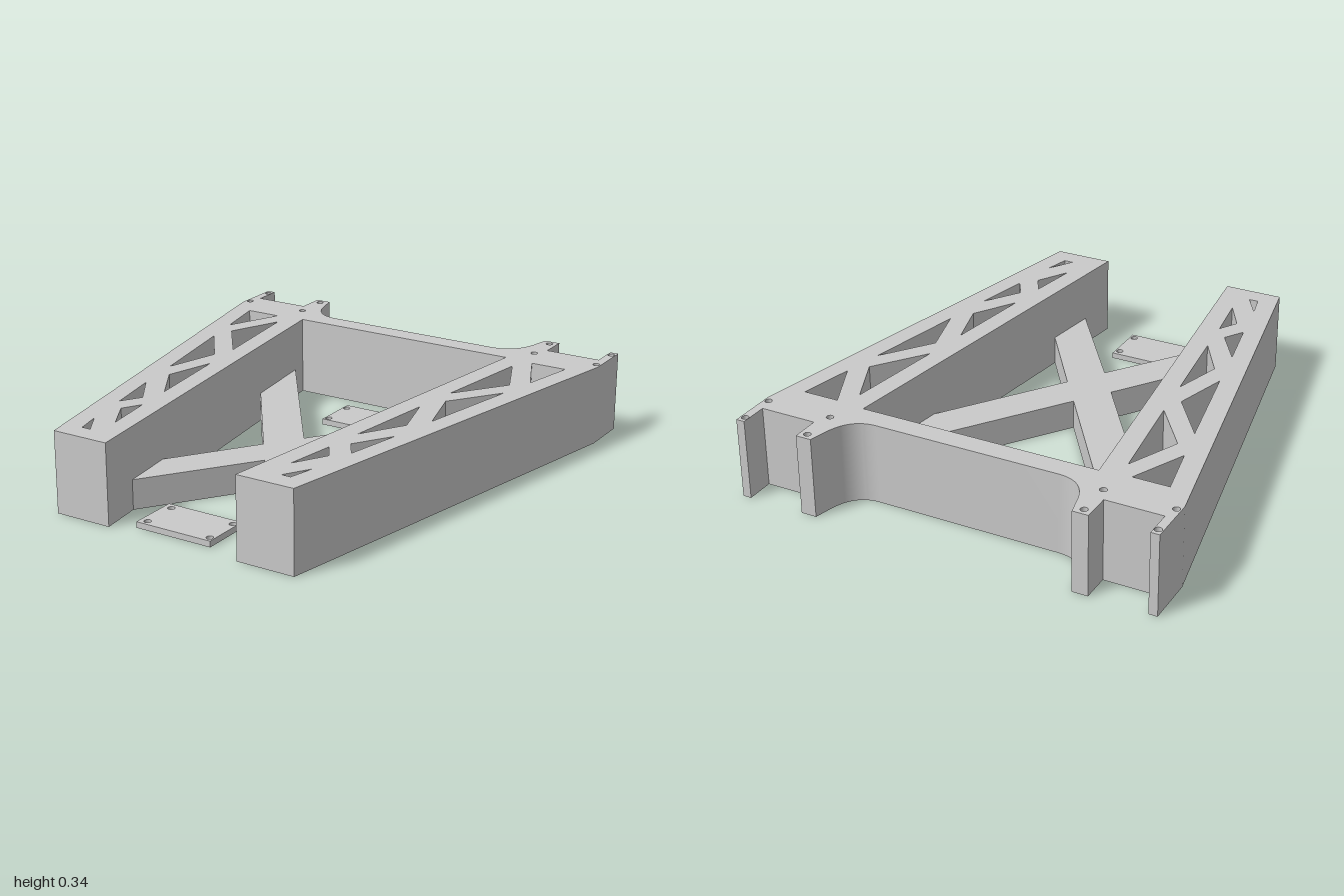
import * as THREE from 'three';
import { toCreasedNormals } from 'three/addons/utils/BufferGeometryUtils.js';

const FRAME_HEIGHT = 0.34;
const BRACE_HEIGHT = 0.125;
const PLATE_HEIGHT = 0.025;

// Plan points are [x, z]; shapes use y = -z so that the extrusion rises along +y.
const toVectors = (points) => points.map(([x, z]) => new THREE.Vector2(x, -z));
const mirrored = (points) => points.map(([x, z]) => [-x, z]);
const bothSides = (points) => [...points, ...mirrored(points).reverse()];

function roundHole(x, z) {
  return new THREE.Path().absarc(x, -z, 0.0145, 0, Math.PI * 2, true);
}

function slab(name, outline, holes, height, material) {
  // A counter-clockwise outline keeps the hole walls facing into the openings
  const points = toVectors(outline);
  if (THREE.ShapeUtils.isClockWise(points)) points.reverse();
  const shape = new THREE.Shape(points);
  shape.holes.push(...holes);
  const geometry = new THREE.ExtrudeGeometry(shape, {
    depth: height, bevelEnabled: false, curveSegments: 20,
  });
  geometry.rotateX(-Math.PI / 2);
  // Smooth the curved walls only; the slight bends of the rails stay sharp
  const mesh = new THREE.Mesh(toCreasedNormals(geometry, 0.17), material);
  mesh.name = name;
  return mesh;
}

function createFrame(material) {
  // Rounded inner corner between the rear post and the cross beam
  const fillet = new THREE.QuadraticBezierCurve(
    new THREE.Vector2(-0.535, -0.925),
    new THREE.Vector2(-0.505, -0.795),
    new THREE.Vector2(-0.39, -0.795),
  ).getPoints(24).map((p) => [p.x, p.y]);

  // Left half of the plan: rail, rear posts, then the back of the beam
  const rear = [
    [-0.293, 1], [-0.54, 1], [-0.893, -0.79], [-0.893, -1],
    [-0.857, -1], [-0.857, -0.88], [-0.618, -0.88], [-0.618, -1],
    [-0.552, -1], ...fillet,
  ];
  const outline = [...bothSides(rear), [0.51, -0.702], [-0.51, -0.702]];

  // Triangular truss openings along each rail
  const triangles = [
    [[-0.79, -0.69], [-0.638, -0.69], [-0.742, -0.46]],
    [[-0.585, -0.612], [-0.683, -0.39], [-0.527, -0.175]],
    [[-0.708, -0.29], [-0.558, -0.08], [-0.622, 0.15]],
    [[-0.502, 0.03], [-0.561, 0.238], [-0.452, 0.418]],
    [[-0.583, 0.367], [-0.484, 0.52], [-0.535, 0.603]],
    [[-0.432, 0.59], [-0.478, 0.667], [-0.4, 0.803]],
    [[-0.497, 0.81], [-0.433, 0.915], [-0.472, 0.915]],
  ];
  const holes = triangles.flatMap((t) => [t, mirrored(t)])
    .map((t) => new THREE.Path(toVectors(t)));

  // Screw holes through the rear posts
  for (const side of [-1, 1]) {
    for (const x of [0.873, 0.586]) {
      for (const z of [-0.97, -0.818]) holes.push(roundHole(side * x, z));
    }
  }
  return slab('trussFrame', outline, holes, FRAME_HEIGHT, material);
}

function createBrace(material) {
  // X-shaped floor brace meeting the inner faces of both rails
  const left = [
    [0, 0.087], [-0.5, -0.625], [-0.455, -0.275], [-0.103, 0.23],
    [-0.347, 0.58], [-0.316, 0.818], [0, 0.377],
  ];
  const outline = [...left, ...mirrored(left.slice(1, -1)).reverse()];
  return slab('crossBrace', outline, [], BRACE_HEIGHT, material);
}

function createPlate(name, z0, z1, holeX, holeZ, material) {
  const outline = [[-0.2, z0], [-0.2, z1], [0.14, z1], [0.14, z0]];
  const holes = holeX.flatMap((x) => holeZ.map((z) => roundHole(x, z)));
  return slab(name, outline, holes, PLATE_HEIGHT, material);
}

export function createModel() {
  const grey = new THREE.MeshStandardMaterial({ color: 0xcacaca });
  grey.name = 'light grey';

  const model = new THREE.Group();
  model.name = 'trussBracket';
  model.add(
    createFrame(grey),
    createBrace(grey),
    createPlate('rearPlate', -0.583, -0.376, [-0.183, 0.105], [-0.549, -0.4], grey),
    createPlate('frontPlate', 0.742, 0.95, [-0.167, 0.12], [0.773, 0.923], grey),
  );
  return model;
}
